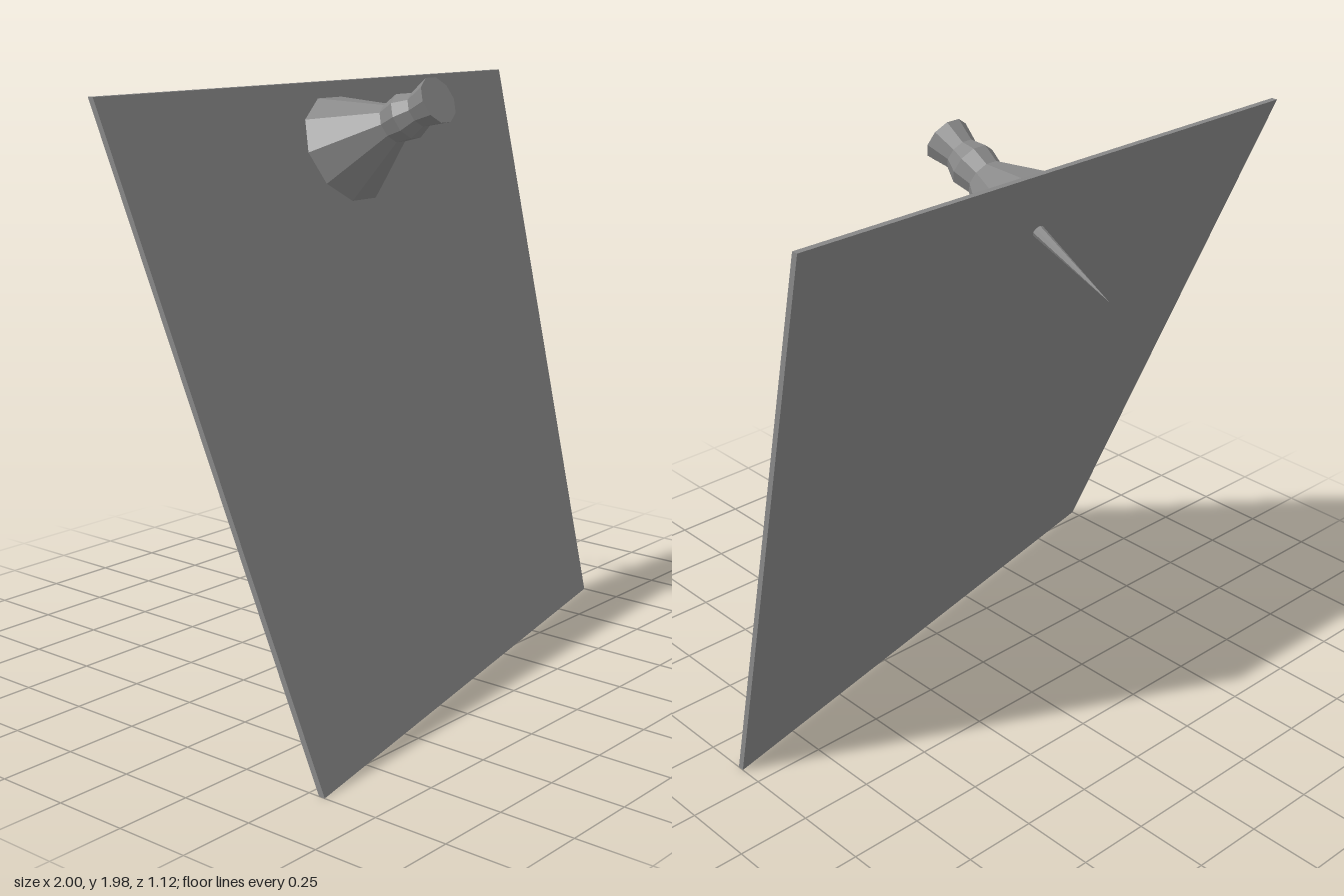
import * as THREE from 'three';

const grey = new THREE.MeshStandardMaterial({ color: 0x878787 });
const faceted = new THREE.MeshStandardMaterial({ color: 0x878787, flatShading: true });

// Thin sheet from four front corners; each four-cornered side gets a single normal
function sheetGeometry(corners, thickness) {
  const front = corners.map((c) => new THREE.Vector3(...c));
  const back = front.map((c) => c.clone().setZ(c.z - thickness));
  const [bl, br, tr, tl] = front;
  const [BL, BR, TR, TL] = back;
  const quads = [[bl, br, tr, tl], [TR, BR, BL, TL]];
  for (let i = 0; i < 4; i++) {
    const j = (i + 1) % 4;
    quads.push([front[j], front[i], back[i], back[j]]);
  }
  const positions = [];
  const normals = [];
  for (const [a, b, c, d] of quads) {
    const normal = c.clone().sub(a).cross(d.clone().sub(b)).normalize();
    for (const p of [a, b, c, a, c, d]) {
      positions.push(...p.toArray());
      normals.push(...normal.toArray());
    }
  }
  const geometry = new THREE.BufferGeometry();
  geometry.setAttribute('position', new THREE.Float32BufferAttribute(positions, 3));
  geometry.setAttribute('normal', new THREE.Float32BufferAttribute(normals, 3));
  return geometry;
}

export function createModel() {
  const model = new THREE.Group();
  model.name = 'pinnedSheet';

  // Leaning sheet with its lower left corner swung back
  const sheet = new THREE.Mesh(
    sheetGeometry([[-1, 0, 0.56], [1, 0, 0.105], [1, 1.95, -0.33], [-1, 1.95, -0.33]], 0.022),
    grey
  );
  sheet.name = 'sheet';
  model.add(sheet);

  // Push pin, built along y and tilted square to the sheet
  const pin = new THREE.Group();
  pin.name = 'pushPin';
  pin.position.set(0, 1.735, -0.215);
  pin.rotation.x = THREE.MathUtils.degToRad(65.5);
  model.add(pin);

  // Ten-sided handle: flared base, waist, collar, neck and cap
  const profile = [
    [0, 0], [0.19, 0], [0.068, 0.225], [0.08, 0.29], [0.06, 0.345], [0.08, 0.425], [0, 0.425],
  ].map(([r, y]) => new THREE.Vector2(r, y));
  const handle = new THREE.Mesh(new THREE.LatheGeometry(profile, 10, Math.PI / 2), faceted);
  handle.name = 'pinHandle';
  pin.add(handle);

  // Needle passing through the sheet
  const length = 0.375;
  const needle = new THREE.Mesh(new THREE.ConeGeometry(0.023, length, 8), faceted);
  needle.name = 'pinNeedle';
  needle.rotation.x = Math.PI;
  needle.position.y = -length / 2;
  pin.add(needle);

  return model;
}
